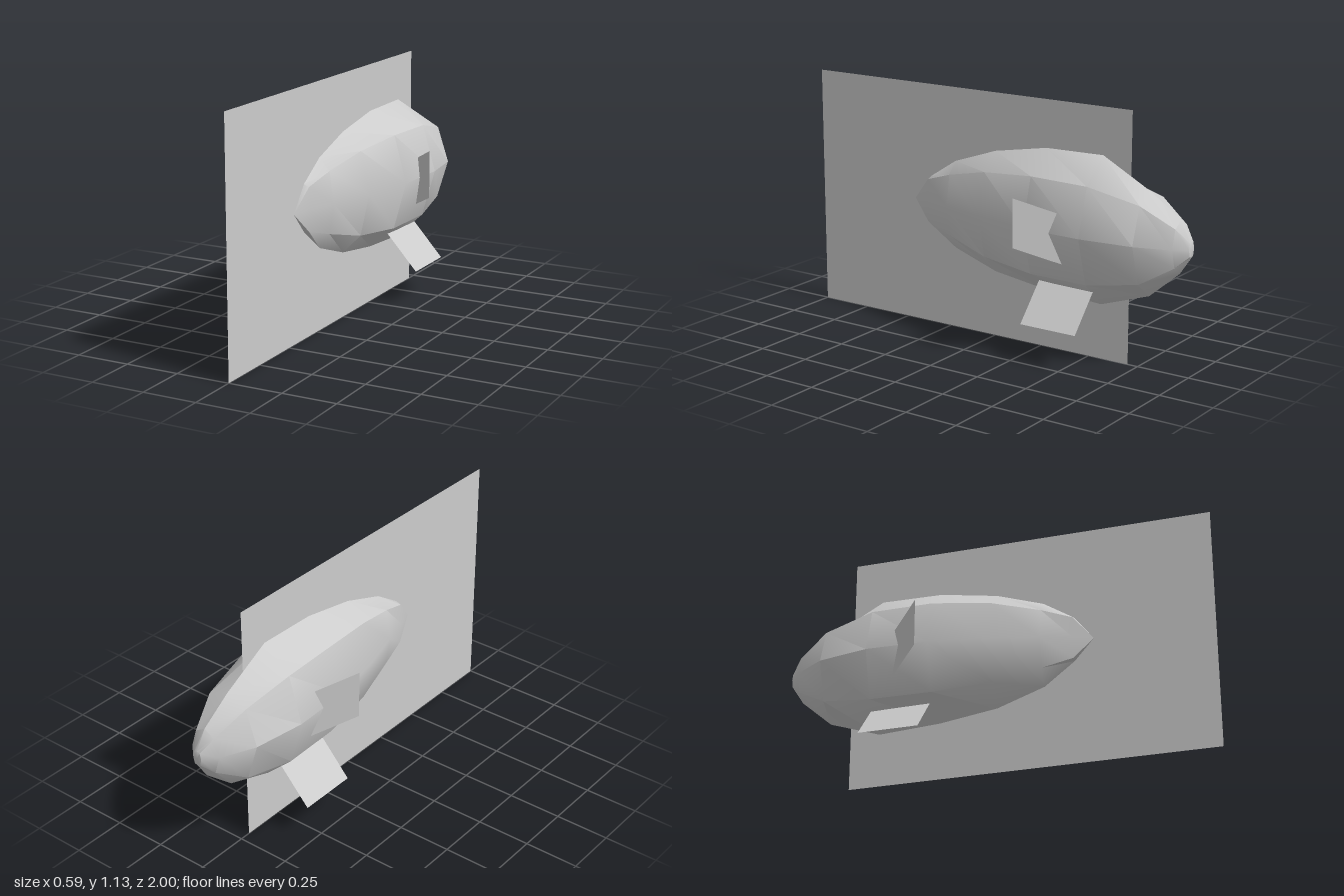
import * as THREE from 'three';
import { toCreasedNormals } from 'three/addons/utils/BufferGeometryUtils.js';

const grey = new THREE.MeshStandardMaterial({ color: 0xcccccc, side: THREE.DoubleSide });
grey.name = 'plain grey';

// Flat four-cornered sheet
function sheet(name, corners) {
  const g = new THREE.BufferGeometry();
  g.setAttribute('position', new THREE.Float32BufferAttribute(corners.flat(), 3));
  g.setIndex([0, 1, 2, 0, 2, 3]);
  g.computeVertexNormals();
  const m = new THREE.Mesh(g, grey);
  m.name = name;
  return m;
}

// Body lofted through eight-sided cross-sections
function bodyGeometry() {
  // z, top y, upper x, upper y, side x, side y, lower x, lower y, bottom y
  const sections = [
    [0.36, 0.70, 0.025, 0.69, 0.03, 0.59, 0.025, 0.49, 0.485],
    [0.22, 0.79, 0.05, 0.735, 0.072, 0.59, 0.05, 0.45, 0.38],
    [0, 0.865, 0.09, 0.785, 0.133, 0.59, 0.09, 0.395, 0.305],
    [-0.27, 0.913, 0.124, 0.81, 0.185, 0.59, 0.124, 0.37, 0.267],
    [-0.56, 0.918, 0.132, 0.806, 0.196, 0.59, 0.132, 0.37, 0.25],
    [-0.80, 0.79, 0.10, 0.75, 0.155, 0.585, 0.10, 0.405, 0.33],
    [-0.945, 0.69, 0.05, 0.66, 0.075, 0.575, 0.05, 0.49, 0.455],
    [-0.997, 0.605, 0.015, 0.60, 0.022, 0.57, 0.015, 0.54, 0.535],
  ];
  const pos = [], idx = [];
  for (const [z, ty, ux, uy, sx, sy, lx, ly, by] of sections) {
    pos.push(0, ty, z, ux, uy, z, sx, sy, z, lx, ly, z);
    pos.push(0, by, z, -lx, ly, z, -sx, sy, z, -ux, uy, z);
  }
  const n = sections.length;
  pos.push(0, 0.585, 0.45, 0, 0.57, -1); // tail tip and nose
  const tip = n * 8, nose = tip + 1, last = (n - 1) * 8;
  for (let j = 0; j < 8; j++) {
    const k = (j + 1) % 8;
    idx.push(tip, k, j, nose, last + j, last + k);
    for (let i = 0; i < n - 1; i++) {
      const a = i * 8 + j, b = i * 8 + k;
      idx.push(a, b, b + 8, a, b + 8, a + 8);
    }
  }
  const g = new THREE.BufferGeometry();
  g.setAttribute('position', new THREE.Float32BufferAttribute(pos, 3));
  g.setIndex(idx);
  return toCreasedNormals(g, 0.58);
}

export function createModel() {
  const model = new THREE.Group();
  model.name = 'fish';

  const body = new THREE.Mesh(bodyGeometry(), grey);
  body.name = 'body';
  model.add(body);

  // Large upright sheet along the centre line carrying the tail and back fins
  model.add(sheet('centreFinSheet', [[0, 0, 1], [0, 0, -0.7], [0, 1.13, -0.7], [0, 1.13, 1]]));

  for (const s of [1, -1]) {
    const side = s > 0 ? 'left' : 'right';
    // Swept side fin, rooted inside the body
    model.add(sheet(side + 'SideFin', [
      [s * 0.293, 0.53, -0.29], [s * 0.293, 0.75, -0.29],
      [s * 0.11, 0.646, -0.497], [s * 0.11, 0.426, -0.497],
    ]));
    // Splayed belly fin
    model.add(sheet(side + 'BellyFin', [
      [s * 0.23, 0.17, -0.29], [s * 0.23, 0.17, -0.57],
      [s * 0.05, 0.37, -0.57], [s * 0.05, 0.37, -0.29],
    ]));
  }
  return model;
}
